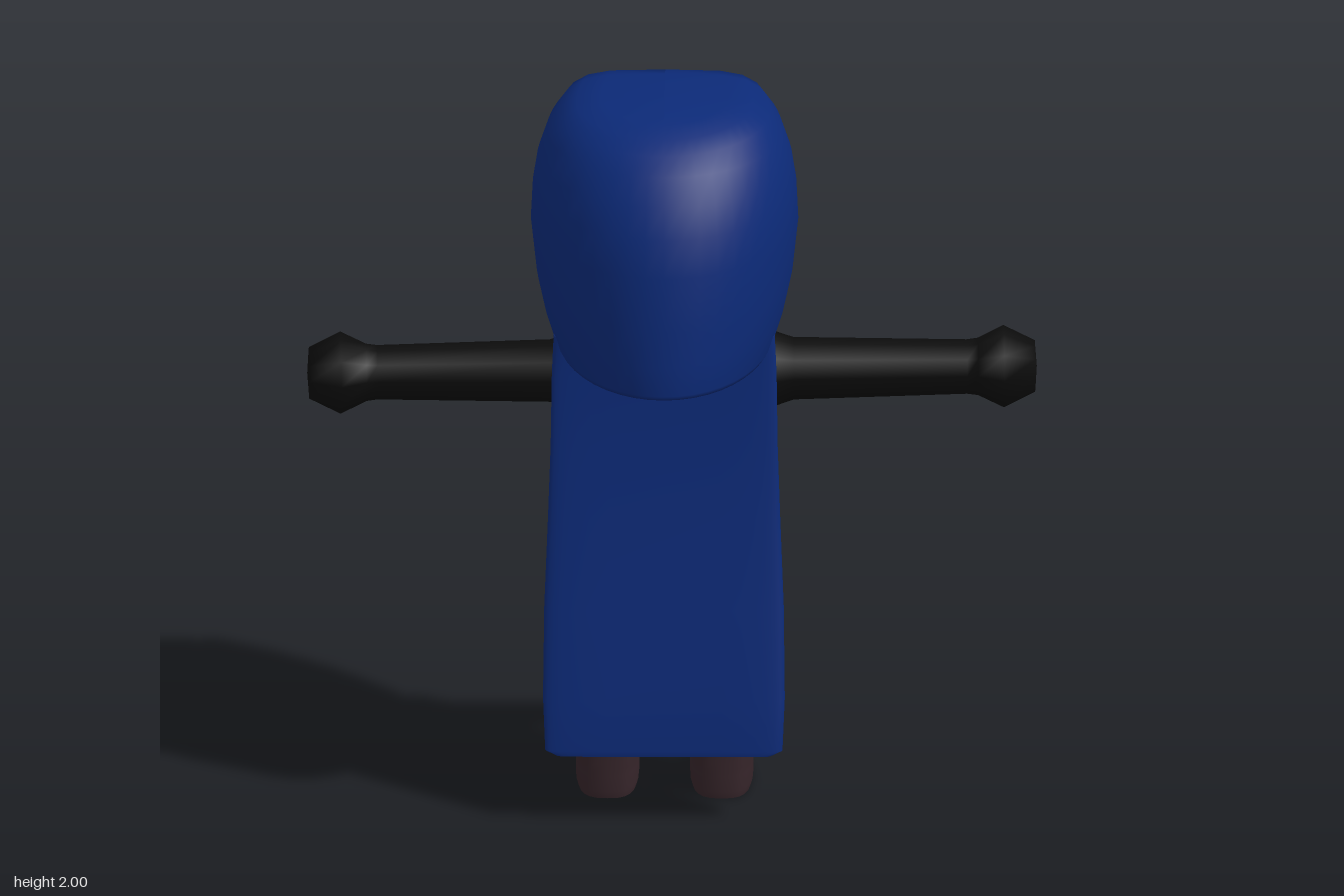
import * as THREE from 'three';

const mat = (color, side = THREE.FrontSide) => new THREE.MeshStandardMaterial({ color, side, roughness: 0.9 });
const BLUE = mat(0x0c2a78, THREE.DoubleSide);
const BLACK = mat(0x0b0b0b);
const BOOT = mat(0x36252a);
const BELT = mat(0x3a2227);
const SKIN = mat(0xa98562);
const HAIR = mat(0x4a1f1f);

// Skin a list of closed rings (bottom to top) and cap both ends.
function loft(rings, caps = true) {
  const n = rings[0].length, pos = [], idx = [];
  rings.forEach(r => r.forEach(p => pos.push(...p)));
  for (let i = 0; i < rings.length - 1; i++) {
    for (let j = 0; j < n; j++) {
      const a = i * n + j, b = i * n + (j + 1) % n;
      idx.push(a, b, b + n, a, b + n, a + n);
    }
  }
  if (caps) {
    [rings[0], rings[rings.length - 1]].forEach((r, top) => {
      const base = pos.length / 3;
      r.forEach(p => pos.push(...p));
      pos.push(...[0, 1, 2].map(k => r.reduce((s, p) => s + p[k], 0) / n));
      for (let j = 0; j < n; j++) {
        const a = base + j, b = base + (j + 1) % n;
        idx.push(base + n, ...(top ? [a, b] : [b, a]));
      }
    });
  }
  const g = new THREE.BufferGeometry();
  g.setAttribute('position', new THREE.Float32BufferAttribute(pos, 3));
  g.setIndex(idx);
  g.computeVertexNormals();
  return g;
}

// Superellipse ring from half-width and front/back depth; e < 1 is squarer.
function ring(y, w, zFront, zBack, cx = 0, e = 1, n = 24) {
  const c = (zFront + zBack) / 2, d = (zBack - zFront) / 2;
  const pw = v => Math.sign(v) * Math.abs(v) ** e;
  return Array.from({ length: n }, (_, j) => {
    const a = (j / n) * Math.PI * 2;
    return [cx + w * pw(Math.sin(a)), y, c + d * pw(Math.cos(a))];
  });
}

function add(parent, name, geometry, material) {
  const m = new THREE.Mesh(geometry, material);
  m.name = name;
  parent.add(m);
  return m;
}

// Hood ring: outer U from one front edge round the back, then the inner U back.
function hoodRing([y, f, b, w]) {
  const wall = (s, drop) => Array.from({ length: 33 }, (_, i) => {
    const t = (i / 32) * 2 - 1, a = Math.abs(t), zc = -0.05;
    let x, z;
    if (a < 0.7) {
      const q = (a / 0.7) * Math.PI / 2;
      x = w * Math.sin(q);
      z = zc + (b * s - zc) * Math.cos(q);
    } else {
      const q = (a - 0.7) / 0.3;
      x = w * (1 - 0.13 * q * q);
      z = zc + (f - zc) * q;
    }
    const sag = y > 1.9 ? 0.3 * z * z * (y - 1.9) / 0.1 : 0;
    return [Math.sign(t) * x * s, y - sag - drop, z];
  });
  return [...wall(1, 0), ...wall(0.93, Math.max(0, (y - 1.6) * 0.09)).reverse()];
}

// Head ring: an ellipse with the middle of the face drawn out to a ridge.
function headRing([y, w, f, b, ridge]) {
  return ring(y, w, f, b, 0, 1, 32).map(([x, yy, z]) =>
    [x, yy, z < 0 ? z - ridge * Math.max(0, 1 - Math.abs(x) / 0.2) : z]);
}

export function createModel() {
  const root = new THREE.Group();
  root.name = 'cloakedFigure';
  const body = new THREE.Group();
  body.name = 'body';
  body.position.x = -0.02;
  root.add(body);

  // Torso
  add(body, 'torso', loft([
    [0.7, 0.19, -0.165, 0.085], [0.78, 0.215, -0.175, 0.1], [0.88, 0.23, -0.18, 0.11],
    [1.02, 0.255, -0.195, 0.115], [1.12, 0.275, -0.208, 0.12], [1.2, 0.285, -0.208, 0.12],
    [1.27, 0.27, -0.19, 0.1], [1.31, 0.22, -0.165, 0.07], [1.34, 0.13, -0.13, 0.03],
  ].map(([y, w, f, b]) => ring(y, w, f, b, 0, 0.85))), BLACK);

  // Slanted belt
  const beltPath = new THREE.CatmullRomCurve3(ring(0, 0.226, -0.178, 0.108, 0, 0.85)
    .map(([x, , z]) => new THREE.Vector3(x, 0.825 + 0.15 * x + 0.2 * z, z)), true);
  add(body, 'belt', new THREE.TubeGeometry(beltPath, 64, 0.016, 8, true), BELT);

  // Legs and boots
  for (const [side, s] of [['left', 1], ['right', -1]]) {
    add(body, side + 'Leg', loft([
      [0.1, 0.08, -0.16, 0.08, 0.154], [0.4, 0.084, -0.165, 0.082, 0.15],
      [0.62, 0.096, -0.17, 0.088, 0.135], [0.8, 0.105, -0.17, 0.1, 0.115],
    ].map(([y, w, f, b, cx]) => ring(y, w, f, b, s * cx, 0.8))), BLACK);
    add(body, side + 'Boot', loft([
      [0, 0.08, -0.24, 0.085], [0.02, 0.086, -0.255, 0.09], [0.065, 0.086, -0.255, 0.09],
      [0.085, 0.085, -0.235, 0.09], [0.1, 0.084, -0.185, 0.09], [0.165, 0.086, -0.178, 0.092],
    ].map(([y, w, f, b]) => ring(y, w, f, b, s * 0.155, 0.7))), BOOT);
  }

  // Arms with mitten hands
  const armProfile = [[0, 0.1], [0.14, 0.22], [0.105, 0.27], [0.085, 0.33], [0.074, 0.8], [0.078, 0.83],
    [0.112, 0.9], [0.07, 0.985], [0, 0.99]].map(p => new THREE.Vector2(...p));
  for (const [side, s] of [['left', 1], ['right', -1]]) {
    const arm = add(root, side + 'Arm', new THREE.LatheGeometry(armProfile, 10), BLACK);
    arm.rotation.set(0, s * 0.03 + 0, -s * Math.PI / 2, 'YXZ');
    arm.rotation.y = 0.033;
    arm.position.set(0, 1.2, -0.05);
  }

  // Cape, a thick sheet swinging away from the back
  add(body, 'cape', loft([
    [0.195, 0.29, 0.25, 0.27], [0.21, 0.322, 0.235, 0.272], [0.35, 0.328, 0.19, 0.258],
    [0.6, 0.325, 0.15, 0.215], [0.85, 0.315, 0.122, 0.175], [1.05, 0.308, 0.11, 0.15],
    [1.25, 0.305, 0.09, 0.13], [1.36, 0.3, 0.06, 0.13],
  ].map(([y, w, f, b]) => ring(y, w, f, b, 0, 0.45, 32))), BLUE);

  // Head
  const headRows = [
    [1.28, 0.11, -0.12, 0.08, 0], [1.35, 0.15, -0.17, 0.12, 0], [1.39, 0.21, -0.25, 0.16, 0.01],
    [1.43, 0.25, -0.31, 0.18, 0.02], [1.53, 0.295, -0.36, 0.22, 0.025], [1.62, 0.31, -0.37, 0.24, 0.05],
    [1.66, 0.312, -0.37, 0.24, 0.07], [1.69, 0.312, -0.37, 0.24, 0.025], [1.77, 0.305, -0.36, 0.24, 0.015],
    [1.85, 0.28, -0.335, 0.22, 0], [1.9, 0.25, -0.3, 0.18, 0], [1.93, 0.2, -0.24, 0.12, 0],
  ];
  add(body, 'head', loft(headRows.map(headRing)), SKIN);

  // Hair under the hood and its spiky fringe
  const hair = new THREE.Group();
  hair.name = 'hair';
  body.add(hair);
  add(hair, 'hairCap', loft([
    [1.835, 0.29, -0.352, 0.23, 0], [1.88, 0.275, -0.33, 0.2, 0],
    [1.915, 0.25, -0.3, 0.18, 0], [1.935, 0.2, -0.25, 0.12, 0],
  ].map(headRing)), HAIR);
  for (let i = 0; i < 14; i++) {
    const t = (i / 13) * 2 - 1, a = t * 0.95;
    const len = 0.11 + 0.03 * (i % 2) + 0.02 * ((i * 5) % 3) - 0.02 * t;
    const spike = new THREE.ConeGeometry(0.03, len, 4);
    spike.rotateX(Math.PI).translate(0, -len / 2, 0).rotateX(0.16);
    spike.scale(1, 1, 0.6).rotateY(-a);
    spike.translate(0.28 * Math.sin(a), 1.865, -0.06 - 0.282 * Math.cos(a));
    add(hair, 'fringeSpike', spike, HAIR).material.flatShading = false;
  }

  // Hood: height, front edge, back, half-width
  add(body, 'hood', loft([
    [1.25, -0.13, 0.13, 0.26], [1.285, -0.15, 0.22, 0.28], [1.305, -0.16, 0.44, 0.292],
    [1.32, -0.163, 0.452, 0.3], [1.4, -0.18, 0.445, 0.325], [1.5, -0.2, 0.44, 0.347],
    [1.65, -0.237, 0.42, 0.363], [1.75, -0.26, 0.39, 0.358], [1.83, -0.28, 0.35, 0.345],
    [1.9, -0.297, 0.3, 0.32], [1.95, -0.308, 0.25, 0.285], [1.98, -0.312, 0.2, 0.24],
    [1.996, -0.314, 0.14, 0.17], [2, -0.315, 0.1, 0],
  ].map(hoodRing)), BLUE);

  return root;
}
